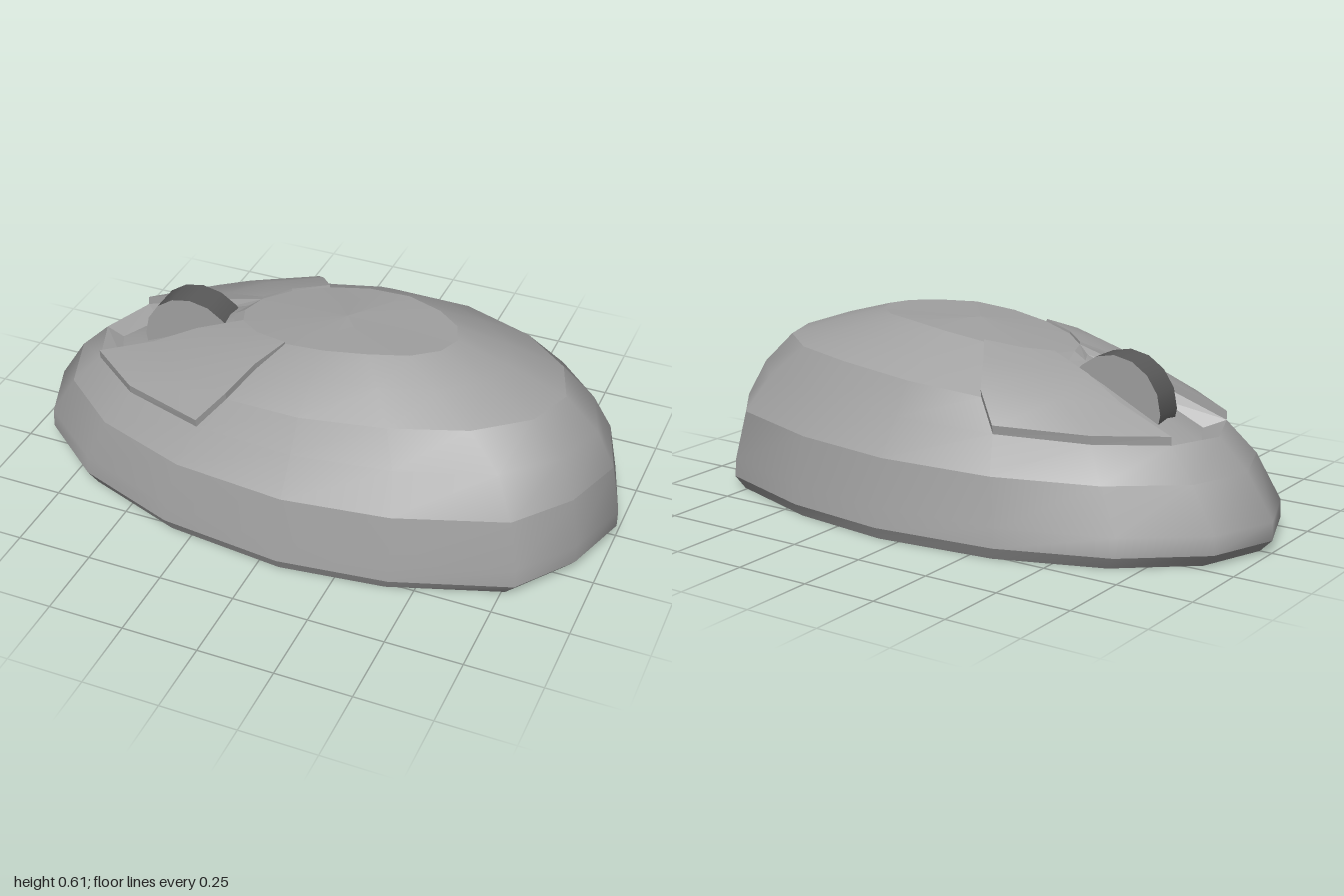
import * as THREE from 'three';

const N = 16, CX = 0.07;

// One horizontal ring of the shell; index 0 is the nose (-x), running through +z to the tail.
// The height eases down from yTail to yNose ahead of x = from.
function ring(nose, tail, halfWidth, yNose, yTail, from, square = 0) {
  return Array.from({ length: N }, (_, k) => {
    const a = (k / N) * Math.PI * 2;
    let c = Math.cos(a);
    if (k === 6 || k === 10) c -= square;
    const x = c > 0 ? CX - c * (CX - nose) : CX - c * (tail - CX);
    const t = Math.min(1, Math.max(0, (from - x) / (from - nose)));
    const z = Math.sin(a) * halfWidth;
    return new THREE.Vector3(x, yTail + (yNose - yTail) * Math.pow(t, 1.2), z);
  });
}

// Smooth surface over rows of points, optionally closed round and with skipped cells.
function grid(rows, closed = false, skip = () => false) {
  const n = rows[0].length, index = [];
  for (let r = 0; r < rows.length - 1; r++) {
    for (let k = 0; k < (closed ? n : n - 1); k++) {
      if (skip(r, k)) continue;
      const k2 = (k + 1) % n;
      const a = r * n + k, b = r * n + k2, c = b + n, d = a + n;
      index.push(a, b, c, a, c, d);
    }
  }
  const g = new THREE.BufferGeometry().setFromPoints(rows.flat());
  g.setIndex(index);
  g.computeVertexNormals();
  return g;
}

// Sharp-edged wall between two matching loops.
function wall(a, b) {
  const g = grid([a, b], true).toNonIndexed();
  g.computeVertexNormals();
  return g;
}

// Outline of a patch, anticlockwise seen from outside.
function outline(p) {
  const last = p[0].length - 1, top = p.length - 1, loop = [...p[0]];
  for (let r = 1; r < top; r++) loop.push(p[r][last]);
  loop.push(...[...p[top]].reverse());
  for (let r = top - 1; r > 0; r--) loop.push(p[r][0]);
  return loop;
}

export function createModel() {
  const model = new THREE.Group();
  model.name = 'computerMouse';
  const shellMat = new THREE.MeshStandardMaterial({ color: 0xa0a0a0 });
  shellMat.name = 'shellGrey';
  const wheelMat = new THREE.MeshStandardMaterial({ color: 0x5a5a5a });
  wheelMat.name = 'wheelGrey';

  const add = (parent, name, geometry, material = shellMat) => {
    const m = new THREE.Mesh(geometry, material);
    m.name = name;
    parent.add(m);
    return m;
  };

  // Shell rings from the base upwards
  const base = ring(-0.96, 0.96, 0.56, 0, 0, 1, 0.07);
  const rim = ring(-1, 1, 0.58, 0.04, 0.04, 1, 0.07);
  const low = ring(-1, 1, 0.57, 0.1, 0.1, 1, 0.07);
  const waist = ring(-0.91, 0.97, 0.54, 0.24, 0.265, 0.9, 0.06);
  const shoulder = ring(-0.81, 0.91, 0.46, 0.337, 0.385, 0.6, 0.04);
  const upper = ring(-0.6, 0.8, 0.4, 0.41, 0.49, 0.35);
  const high = ring(-0.45, 0.61, 0.295, 0.475, 0.556, 0.25);
  const crown = ring(-0.29, 0.44, 0.195, 0.535, 0.605, 0.2);
  const centre = y => Array.from({ length: N }, () => new THREE.Vector3(CX, y, 0));

  const shell = new THREE.Group();
  shell.name = 'shell';
  model.add(shell);
  const atNose = k => k === 0 || k === N - 1;
  add(shell, 'underside', grid([centre(0), base], true));
  add(shell, 'baseChamfer', grid([base, rim], true));
  add(shell, 'lowerShell', grid([rim, low, waist], true));
  add(shell, 'middleShell', grid([waist, shoulder, upper], true, (r, k) => r === 1 && atNose(k)));
  add(shell, 'upperShell', grid([upper, high, crown], true, (r, k) => atNose(k)));
  add(shell, 'crown', grid([crown, centre(0.603)], true));

  // Patch of the upper shell over the given columns
  const rows = [shoulder, upper, high, crown];
  const patch = cols => rows.map(row => cols.map(k => row[k].clone()));

  // Recess for the wheel
  const opening = patch([15, 0, 1]);
  const shift = [0.06, 0.01, -0.01, -0.04];
  const floor = opening.map((row, r) => row.map(p =>
    new THREE.Vector3(p.x + shift[r], p.y - 0.025, p.z * 0.76)));
  const recess = new THREE.Group();
  recess.name = 'wheelRecess';
  model.add(recess);
  add(recess, 'recessFloor', grid(floor));
  add(recess, 'recessWalls', wall(outline(opening), outline(floor)));

  // Raised buttons on either side of the recess
  const lift = [0.028, 0.025, 0.022, 0.008];
  for (const [name, cols] of [['leftButton', [1, 2, 3]], ['rightButton', [13, 14, 15]]]) {
    const button = new THREE.Group();
    button.name = name;
    model.add(button);
    const under = patch(cols);
    const top = under.map((row, r) => row.map(p =>
      new THREE.Vector3(p.x, p.y + lift[r], p.z * 1.01)));
    add(button, name + 'Top', grid(top));
    add(button, name + 'Edge', wall(outline(under), outline(top)));
  }

  // Scroll wheel with a dark tread
  const wheelGeo = new THREE.CylinderGeometry(0.168, 0.168, 0.105, 16).rotateX(Math.PI / 2);
  const wheel = add(model, 'scrollWheel', wheelGeo, [wheelMat, shellMat, shellMat]);
  wheel.position.set(-0.465, 0.388, 0);

  return model;
}
